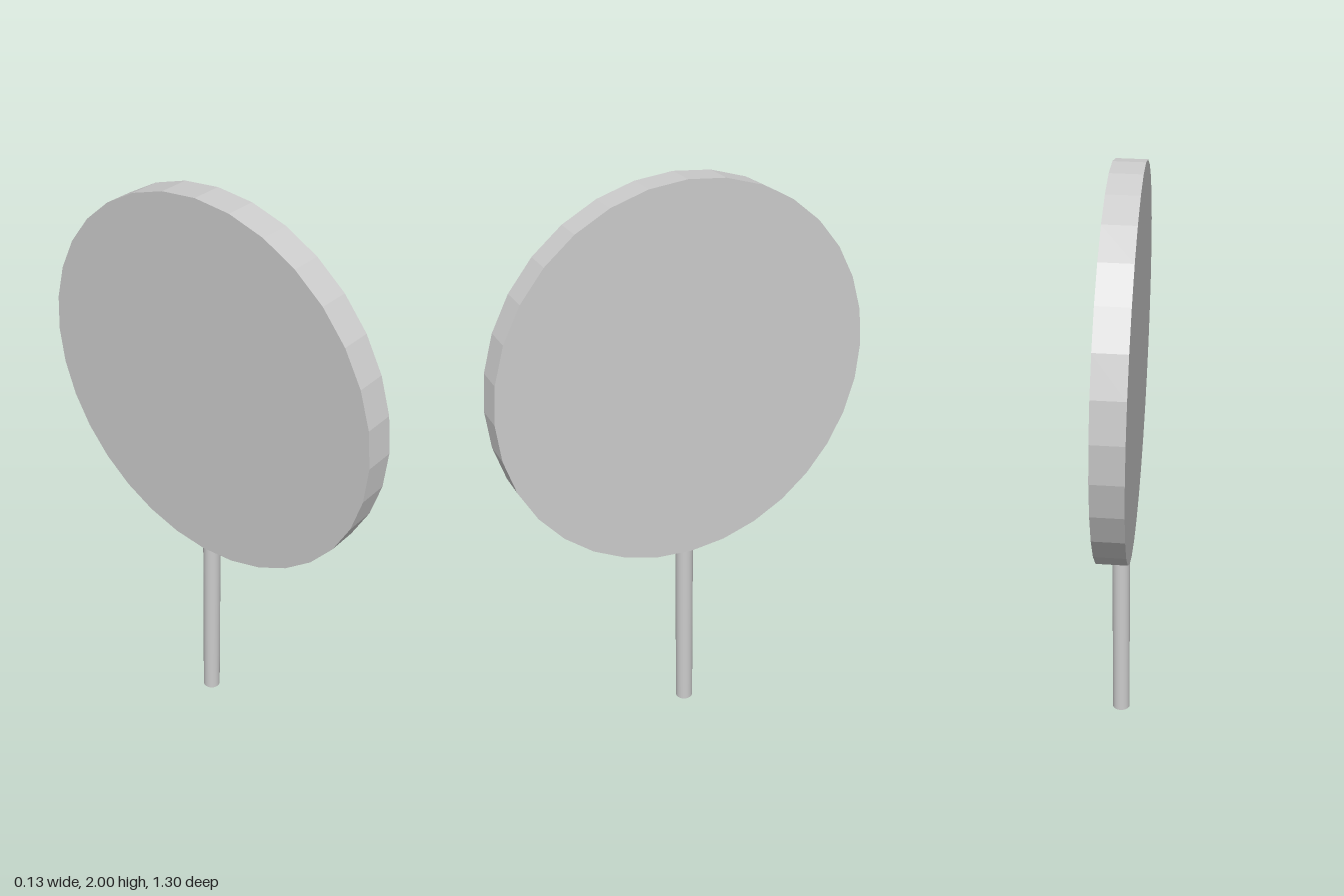
import * as THREE from 'three';

export function createModel() {
  const group = new THREE.Group();
  const add = (name, geometry, flatShading) => {
    const mesh = new THREE.Mesh(
      geometry,
      new THREE.MeshStandardMaterial({ color: 0xcccccc, flatShading })
    );
    mesh.name = name;
    group.add(mesh);
    return mesh;
  };

  // Thick faceted disc facing sideways, leaning slightly towards -x
  const disc = add('disc', new THREE.CylinderGeometry(0.648, 0.648, 0.102, 32).rotateZ(Math.PI / 2), true);
  disc.position.y = 1.351;
  disc.rotation.z = 0.0245;

  // Slim upright stick running into the rim
  const stickHeight = 0.72;
  const stick = add('stick', new THREE.CylinderGeometry(0.031, 0.031, stickHeight, 24), false);
  stick.position.set(0.01, stickHeight / 2, 0);

  return group;
}
